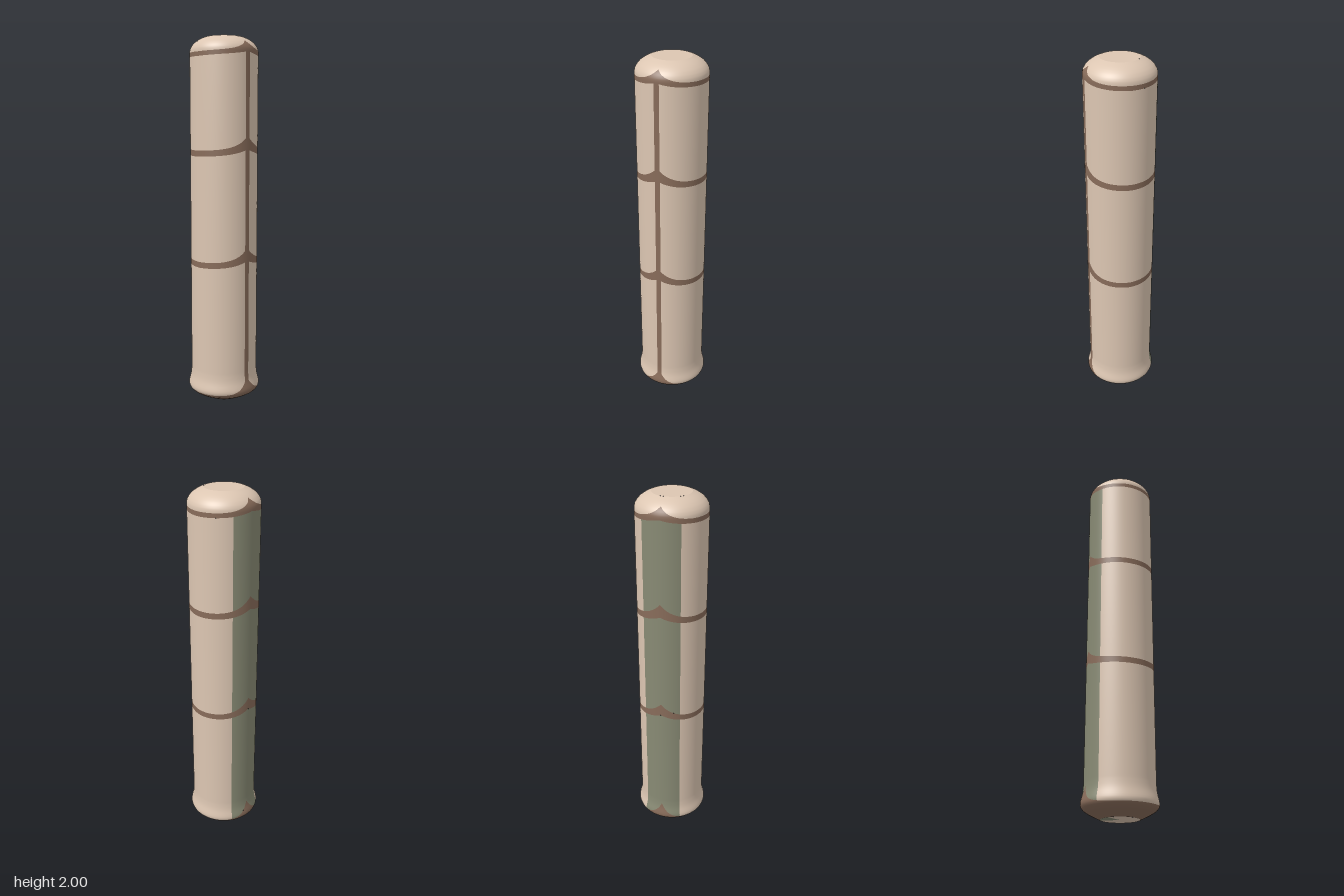
import * as THREE from 'three';

const cream = new THREE.MeshStandardMaterial({ name: 'cream', color: 0xdcc6b2 });
const brown = new THREE.MeshStandardMaterial({ name: 'brown', color: 0x886c5a });
const sage = new THREE.MeshStandardMaterial({ name: 'sage', color: 0x888a74 });

// Outline of the turned body: [height, radius]
const profile = [
  [0, 0.1], [0.015, 0.132], [0.03, 0.162], [0.045, 0.185], [0.058, 0.196], [0.07, 0.2], [0.083, 0.199],
  [0.1, 0.195], [0.12, 0.19], [0.14, 0.187], [0.17, 0.185],
  [1.925, 0.185], [1.94, 0.181], [1.955, 0.172], [1.97, 0.158], [1.985, 0.136], [1.994, 0.118], [2, 0.1],
];

function radiusAt(y) {
  for (let i = 1; i < profile.length; i++) {
    const [y0, r0] = profile[i - 1], [y1, r1] = profile[i];
    if (y <= y1) return r0 + ((r1 - r0) * Math.max(0, y - y0)) / (y1 - y0);
  }
  return profile[profile.length - 1][1];
}

// Curved patch of the body between two angles and two height curves
function patch(name, material, from, to, low, high, rows) {
  const cols = Math.max(6, Math.ceil((to - from) / 0.035));
  const position = [], normal = [], index = [];
  for (let i = 0; i <= cols; i++) {
    const a = from + ((to - from) * i) / cols;
    for (let j = 0; j <= rows; j++) {
      const y = low(a) + ((high(a) - low(a)) * j) / rows;
      const r = radiusAt(y);
      position.push(r * Math.cos(a), y, r * Math.sin(a));
      const ya = Math.max(0, y - 0.01), yb = Math.min(2, y + 0.01);
      const slope = (radiusAt(yb) - radiusAt(ya)) / (yb - ya);
      const n = new THREE.Vector3(Math.cos(a), -slope, Math.sin(a)).normalize();
      normal.push(n.x, n.y, n.z);
      if (i < cols && j < rows) {
        const k = i * (rows + 1) + j, m = k + rows + 1;
        index.push(k, k + 1, m, k + 1, m + 1, m);
      }
    }
  }
  const geometry = new THREE.BufferGeometry();
  geometry.setAttribute('position', new THREE.Float32BufferAttribute(position, 3));
  geometry.setAttribute('normal', new THREE.Float32BufferAttribute(normal, 3));
  geometry.setIndex(index);
  const mesh = new THREE.Mesh(geometry, material);
  mesh.name = name;
  return mesh;
}

// Height curve that sweeps up to a peak at both sides
const sweep = (base, rise, spread) => (a) => {
  const fromSide = Math.asin(Math.min(1, Math.abs(Math.sin(a))));
  return base + rise * Math.exp(-fromSide / spread);
};
const flat = (y) => () => y;

export function createModel() {
  const model = new THREE.Group();
  model.name = 'column';
  const turn = Math.PI * 2, seam = 0.075, strip = 0.57;

  // Brown rings: foot, two middle bands and the band below the cap
  const rings = [
    { name: 'footRing', low: flat(0), high: sweep(0.058, 0.095, 0.22) },
    { name: 'lowerBand', low: sweep(0.764, 0.042, 0.55), high: sweep(0.797, 0.08, 0.38) },
    { name: 'upperBand', low: sweep(1.366, 0.042, 0.55), high: sweep(1.399, 0.08, 0.38) },
    { name: 'capBand', low: sweep(1.888, 0.025, 0.6), high: sweep(1.913, 0.058, 0.32) },
  ];
  for (const r of rings) model.add(patch(r.name, brown, 0, turn, r.low, r.high, 16));

  // Panels between the rings, with a seam on the left and a strip on the right
  for (let i = 0; i < 3; i++) {
    const section = new THREE.Group();
    section.name = 'section' + (i + 1);
    const low = rings[i].high, high = rings[i + 1].low, rows = i === 0 ? 60 : 16;
    section.add(
      patch('sideSeam', brown, -seam, seam, low, high, rows),
      patch('frontPanel', cream, seam, Math.PI - strip, low, high, rows),
      patch('sideStrip', sage, Math.PI - strip, Math.PI + strip, low, high, rows),
      patch('backPanel', cream, Math.PI + strip, turn - seam, low, high, rows),
    );
    model.add(section);
  }

  // Rounded cap and its flat crown
  model.add(patch('cap', cream, 0, turn, rings[3].high, flat(2), 20));
  const crown = new THREE.Mesh(new THREE.CircleGeometry(0.1, 64), cream);
  crown.name = 'crown';
  crown.rotation.x = -Math.PI / 2;
  crown.position.y = 2;
  model.add(crown);

  // Underside, with the strip colour carried under on the right
  const underside = [
    ['underside', cream, Math.PI + strip, turn - 2 * strip],
    ['undersideStrip', sage, Math.PI - strip, 2 * strip],
  ];
  for (const [name, material, start, length] of underside) {
    const disc = new THREE.Mesh(new THREE.CircleGeometry(0.1, 48, start, length), material);
    disc.name = name;
    disc.rotation.x = Math.PI / 2;
    model.add(disc);
  }
  return model;
}
